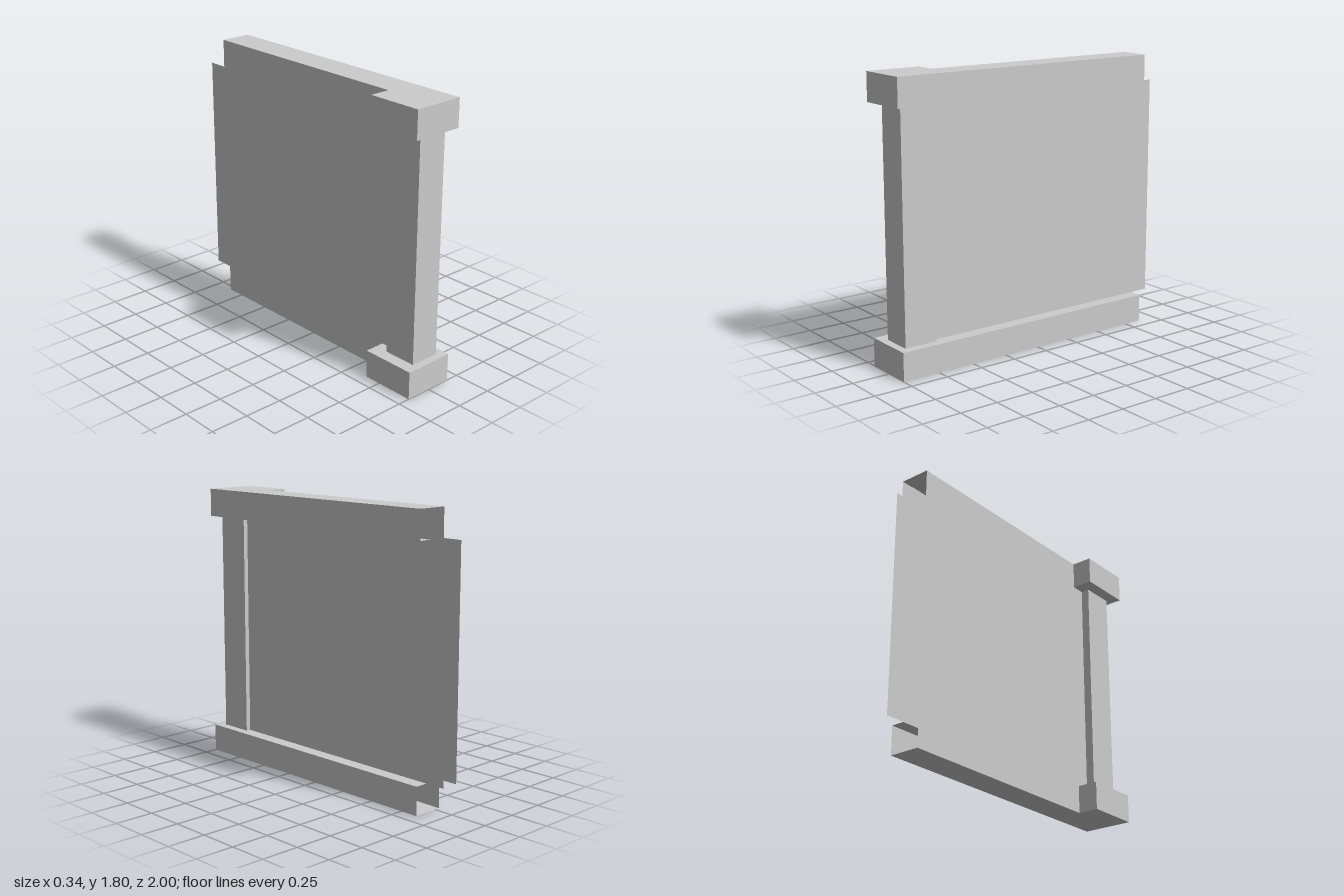
import * as THREE from 'three';

const material = new THREE.MeshStandardMaterial({ color: 0xcccccc, flatShading: true, side: THREE.DoubleSide });

// Plan positions are [x, z] pairs
const WALL_OUT = 0.08, WALL_IN = -0.035, POST_BACK = 0.73;
const CAP_BACK = -0.87, WALL_BACK = -1;
const LOW = 0.18, HIGH = 1.62, TOP = 1.8;

const capPath = [[0.165, CAP_BACK], [0.165, 1], [-0.17, 1], [-0.17, 0.64], [WALL_IN, 0.64], [WALL_IN, CAP_BACK]];
const postPath = [
  [WALL_OUT, POST_BACK], [0.11, POST_BACK], [0.11, 0.95],
  [-0.09, 0.95], [-0.09, POST_BACK], [WALL_IN, POST_BACK],
];
// Ledge: cap outline with the footprint of the post and wall left open
const ledgePath = [...capPath.slice(0, 5), ...[...postPath].reverse(), [WALL_OUT, CAP_BACK]];

function addMesh(parent, name, geometry) {
  const mesh = new THREE.Mesh(geometry, material);
  mesh.name = name;
  parent.add(mesh);
}

// Upright faces along an open plan path
function ribbon(path, y0, y1) {
  const position = [];
  for (let i = 0; i < path.length - 1; i++) {
    const [ax, az] = path[i], [bx, bz] = path[i + 1];
    position.push(ax, y0, az, ax, y1, az, bx, y1, bz);
    position.push(ax, y0, az, bx, y1, bz, bx, y0, bz);
  }
  const geometry = new THREE.BufferGeometry();
  geometry.setAttribute('position', new THREE.Float32BufferAttribute(position, 3));
  geometry.computeVertexNormals();
  return geometry;
}

// Level face from a plan outline, facing up (1) or down (-1)
function slab(path, y, facing) {
  const shape = new THREE.Shape(path.map(([x, z]) => new THREE.Vector2(x, -facing * z)));
  return new THREE.ShapeGeometry(shape).rotateX(-facing * Math.PI / 2).translate(0, y, 0);
}

export function createModel() {
  const model = new THREE.Group();
  model.name = 'wallSection';

  // Base and top cap: hollow rails, open at the back end
  const rails = [
    ['base', 0, LOW, 0, LOW, 1],
    ['topCap', HIGH, TOP, TOP, HIGH, -1],
  ];
  for (const [name, y0, y1, outerY, ledgeY, ledgeFacing] of rails) {
    const rail = new THREE.Group();
    rail.name = name;
    addMesh(rail, name + 'Sides', ribbon(capPath, y0, y1));
    addMesh(rail, name + 'Face', slab(capPath, outerY, -ledgeFacing));
    addMesh(rail, name + 'Ledge', slab(ledgePath, ledgeY, ledgeFacing));
    model.add(rail);
  }

  // Front post with small steps back to the wall
  addMesh(model, 'frontPost', ribbon(postPath, LOW, HIGH));

  // Two thin wall sheets, open between them at the back
  addMesh(model, 'outerWall', ribbon([[WALL_OUT, WALL_BACK], [WALL_OUT, POST_BACK]], LOW, HIGH));
  addMesh(model, 'innerWall', ribbon([[WALL_IN, POST_BACK], [WALL_IN, WALL_BACK]], LOW, HIGH));

  return model;
}
